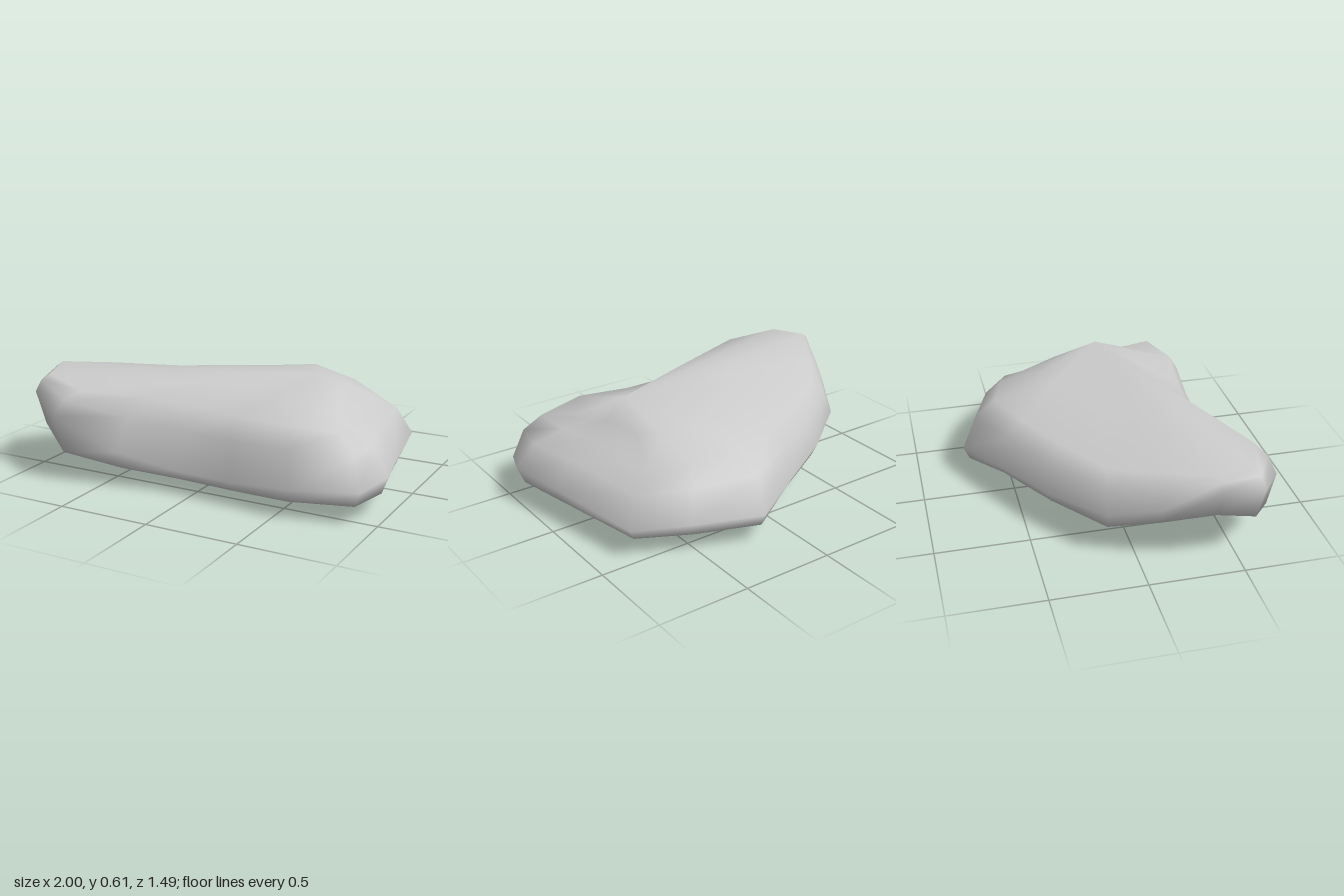
import * as THREE from 'three';

// Spokes around the rock: outline x, z, then heights of the lower edge,
// widest line and top edge, how far the top edge is drawn inward, and
// the height of the crown between top edge and peak.
const spokes = [
  [0.2, -0.75, 0.11, 0.18, 0.47, 0.24, 0.54],
  [0.55, -0.62, 0.11, 0.18, 0.43, 0.2, 0.51],
  [0.82, -0.48, 0.11, 0.17, 0.4, 0.28, 0.5],
  [0.93, 0.08, 0.11, 0.19, 0.41, 0.29, 0.5],
  [1, 0.38, 0.12, 0.21, 0.41, 0.28, 0.47],
  [0.93, 0.57, 0.1, 0.18, 0.43, 0.18, 0.47],
  [0.59, 0.64, 0.09, 0.16, 0.45, 0.17, 0.51],
  [0.25, 0.61, 0.08, 0.13, 0.44, 0.2, 0.515],
  [-0.08, 0.59, 0.08, 0.13, 0.45, 0.21, 0.52],
  [-0.4, 0.66, 0.11, 0.2, 0.48, 0.21, 0.535],
  [-0.73, 0.74, 0.17, 0.37, 0.5, 0.13, 0.55],
  [-0.96, 0.59, 0.26, 0.44, 0.54, 0.07, 0.565],
  [-1, 0.36, 0.33, 0.49, 0.555, 0.04, 0.565],
  [-0.9, 0.1, 0.26, 0.36, 0.51, 0.1, 0.555],
  [-0.76, -0.15, 0.18, 0.27, 0.46, 0.15, 0.545],
  [-0.45, -0.39, 0.18, 0.24, 0.46, 0.2, 0.54],
  [-0.1, -0.59, 0.17, 0.22, 0.46, 0.22, 0.54],
];
const base = new THREE.Vector3(0.13, 0, 0.04);
const peak = new THREE.Vector3(0.5, 0.605, 0.08);

// Points of one spoke from the belly up to the crown
function spokePoints([x, z, low, mid, top, inset, crown]) {
  const inward = (t, y) =>
    new THREE.Vector3(x + (base.x - x) * t, y, z + (base.z - z) * t);
  const rim = inward(inset, top);
  return [
    inward(0.5, low * 0.42),
    inward(0.04, low),
    inward(0, mid),
    inward(inset * 0.4, mid + (top - mid) * 0.65),
    rim,
    rim.clone().lerp(peak, 0.45).setY(crown),
  ];
}

function rockGeometry() {
  const columns = spokes.map(spokePoints);
  const rows = columns[0].length;
  const points = [...columns.flat(), base, peak];
  const baseId = points.length - 2;
  const peakId = points.length - 1;
  const index = [];
  columns.forEach((_, i) => {
    const a = i * rows;
    const b = ((i + 1) % columns.length) * rows;
    index.push(baseId, a, b);
    for (let k = 0; k < rows - 1; k++) {
      index.push(a + k, a + k + 1, b + k, b + k, a + k + 1, b + k + 1);
    }
    index.push(a + rows - 1, peakId, b + rows - 1);
  });
  const geometry = new THREE.BufferGeometry().setFromPoints(points);
  geometry.setIndex(index);
  geometry.computeVertexNormals();
  return geometry;
}

export function createModel() {
  const group = new THREE.Group();
  const rock = new THREE.Mesh(
    rockGeometry(),
    new THREE.MeshStandardMaterial({ color: 0xcccccc })
  );
  rock.name = 'rock';
  group.add(rock);
  return group;
}
